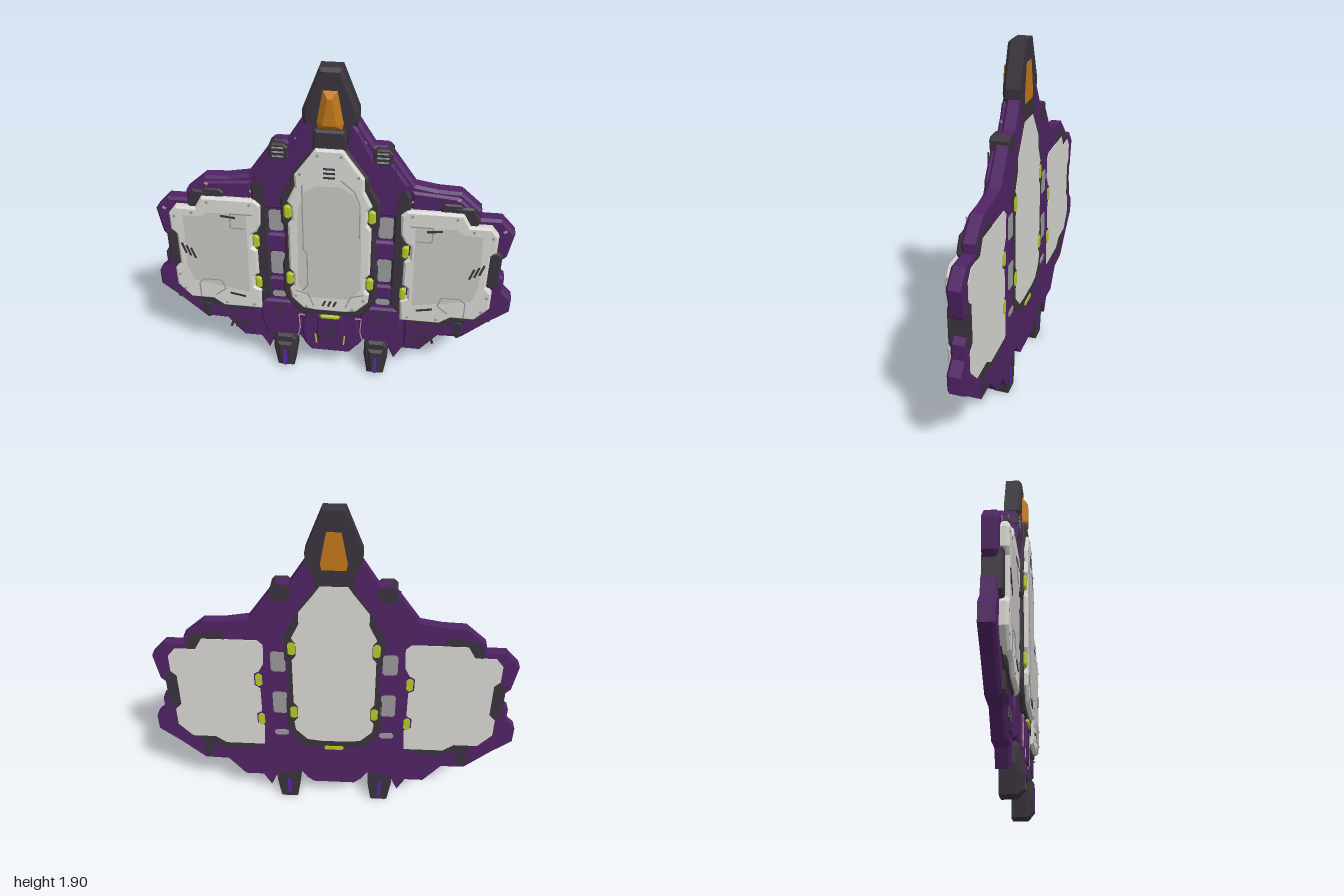
import * as THREE from 'three';
import { mergeGeometries } from 'three/addons/utils/BufferGeometryUtils.js';

const paint = (name, color) => Object.assign(new THREE.MeshStandardMaterial({ color }), { name });

export function createModel() {
  const purple = paint('hull purple', 0x4f2364);
  const dark = paint('dark metal', 0x39333b);
  const plate = paint('plate grey', 0xd6d5d1);
  const inset = paint('inset grey', 0xc6c4c0);
  const mid = paint('recess grey', 0x99979a);
  const lime = paint('lime clamp', 0xb4c828);
  const amber = paint('amber canopy', 0xbf7619);
  const glow = paint('violet glow', 0x5a22b4);
  const pink = paint('worn edge', 0xb58ca0);
  const model = new THREE.Group();
  model.name = 'shipShield';

  const add = (name, geo, mat) => {
    const m = new THREE.Mesh(geo, mat);
    m.name = name;
    model.add(m);
    return m;
  };
  const flip = (pts) => pts.map(([x, y]) => [-x, y]);
  const sym = (half) => [...half, ...flip(half).reverse()];
  const shapeOf = (pts) => new THREE.Shape(pts.map(([x, y]) => new THREE.Vector2(x, y)));

  // Slab from z0 to z1 with straight sides and a chamfered front rim
  const slab = (name, pts, z0, z1, b, mat) => {
    const shape = shapeOf(pts);
    const base = new THREE.ExtrudeGeometry(shape, { depth: z1 - b - z0, bevelEnabled: false });
    base.translate(0, 0, z0);
    if (!b) return add(name, base, mat);
    const rim = new THREE.ExtrudeGeometry(shape, {
      depth: 0.001, bevelThickness: b, bevelSize: b, bevelOffset: -b, bevelSegments: 1 });
    rim.translate(0, 0, z1 - b - 0.001);
    return add(name, mergeGeometries([base, rim]), mat);
  };
  const pair = (name, pts, ...rest) => {
    slab(name + 'Left', pts, ...rest);
    slab(name + 'Right', flip(pts), ...rest);
  };
  // Octagonal outline for clamps and vent housings
  const oct = (x, y, w, h, c) => {
    const a = w / 2, b = h / 2;
    return [[a, b - c], [a - c, b], [c - a, b], [-a, b - c], [-a, c - b], [c - a, -b], [a - c, -b], [a, c - b]]
      .map(([u, v]) => [x + u, y + v]);
  };
  // Thin painted bar; mirrored unless it is on the centre line
  const bar = (name, x, y, w, h, z, mat, rot = 0, both = true) => {
    for (const s of both ? [1, -1] : [1]) {
      const m = add(name, new THREE.BoxGeometry(w, h, 0.006), mat);
      m.position.set(s * x, y, z);
      m.rotation.z = s * rot;
    }
  };
  const groove = (name, pts, z, mat = dark, both = true, t = 0.006) => {
    for (let i = 1; i < pts.length; i++) {
      const [x, y] = pts[i - 1], dx = pts[i][0] - x, dy = pts[i][1] - y;
      bar(name, x + dx / 2, y + dy / 2, Math.hypot(dx, dy), t, z, mat, Math.atan2(dy, dx), both);
    }
  };
  const rivets = (list, z) => list.forEach(([x, y]) => [1, -1].forEach((s) => {
    const m = add('rivet', new THREE.CylinderGeometry(0.008, 0.008, 0.006, 8).rotateX(Math.PI / 2), mid);
    m.position.set(s * x, y, z);
  }));

  // Main hull and wings
  slab('hull', sym([[0.1, 1.66], [0.13, 1.65], [0.22, 1.51], [0.285, 1.51], [0.435, 1.3], [0.55, 1.28], [0.67, 1.275],
    [0.78, 1.18], [0.78, 1.13], [0.89, 1.13], [0.965, 1.05], [0.94, 0.9], [0.9, 0.86], [0.9, 0.8], [0.945, 0.76],
    [0.945, 0.68], [1, 0.625], [1, 0.53], [0.89, 0.44], [0.755, 0.315], [0.62, 0.31], [0.525, 0.19], [0.42, 0.19],
    [0.375, 0.105], [0.335, 0.2], [0.2, 0.24], [0.16, 0.18], [0.12, 0.145]]), -0.07, 0.002, 0.014, purple);

  // Raised inner hull: shoulders, skirt and cross bars
  pair('shoulder', [[0.1, 1.64], [0.14, 1.6], [0.22, 1.45], [0.3, 1.45], [0.4, 1.31], [0.4, 1.12], [0.2, 1.12], [0.06, 1.4]],
    -0.03, 0.028, 0.012, purple);
  pair('skirtSide', [[0.17, 0.5], [0.4, 0.5], [0.41, 0.38], [0.38, 0.25], [0.2, 0.25], [0.17, 0.3]], -0.03, 0.025, 0.012, purple);
  slab('skirt', sym([[0.15, 0.46], [0.17, 0.3], [0.15, 0.2], [0.11, 0.15]]), -0.05, 0.037, 0.014, purple);
  slab('skirtRib', sym([[0.07, 0.43], [0.08, 0.3], [0.06, 0.22]]), 0, 0.046, 0.01, purple);
  for (const [y, h] of [[0.9, 0.12], [0.62, 0.09]]) pair('crossBar', oct(0.3, y, 0.2, h, 0.015), -0.03, 0.026, 0.012, purple);
  for (const [y, h] of [[1.035, 0.13], [0.755, 0.15], [0.535, 0.04]])
    pair('recessPanel', oct(0.296, y, 0.08, h, 0.012), -0.072, 0.005, 0, mid);

  // Wing upper armour steps
  pair('wingCrest', [[0.42, 1.27], [0.66, 1.25], [0.76, 1.165], [0.7, 1.1], [0.42, 1.1]], -0.03, 0.014, 0.012, purple);
  pair('wingFoot', [[0.42, 0.44], [0.74, 0.44], [0.72, 0.34], [0.6, 0.33], [0.52, 0.23], [0.43, 0.23]], -0.03, 0.014, 0.012, purple);

  // Nose, neck and canopy
  slab('nose', sym([[0.055, 1.905], [0.14, 1.69], [0.14, 1.64], [0.1, 1.55], [0.1, 1.48]]), -0.071, 0.022, 0.018, dark);
  slab('neck', sym([[0.075, 1.6], [0.085, 1.56], [0.085, 1.47]]), -0.02, 0.05, 0.012, dark);
  slab('canopy', sym([[0.036, 1.797], [0.067, 1.63], [0.06, 1.595]]), -0.073, 0.054, 0.032, amber);

  // Centre frame and plate
  slab('centreFrame', sym([[0.08, 1.51], [0.2, 1.34], [0.21, 1.3], [0.262, 1.2], [0.262, 1.05], [0.245, 1.02], [0.245, 0.82],
    [0.262, 0.78], [0.262, 0.58], [0.225, 0.5], [0.17, 0.44], [0.07, 0.43]]), -0.072, 0.046, 0.012, dark);
  slab('centrePlate', sym([[0.07, 1.505], [0.1, 1.46], [0.18, 1.35], [0.18, 1.28], [0.222, 1.19], [0.2, 1.16], [0.2, 1.08],
    [0.222, 1.05], [0.222, 0.76], [0.2, 0.73], [0.2, 0.65], [0.222, 0.62], [0.215, 0.56], [0.15, 0.49], [0.08, 0.48]]),
    -0.074, 0.066, 0.012, plate);
  slab('centreInset', sym([[0.06, 1.3], [0.13, 1.26], [0.165, 1.15], [0.175, 0.66], [0.12, 0.58]]), 0.06, 0.0675, 0, inset);

  // Wing frames and plates
  pair('innerRail', [[0.335, 1.2], [0.37, 1.31], [0.42, 1.24], [0.42, 0.5], [0.39, 0.47], [0.335, 0.55]], -0.066, 0.03, 0.012, dark);
  const wingPlate = [[0.37, 1.14], [0.4, 1.17], [0.69, 1.17], [0.73, 1.1], [0.84, 1.1], [0.88, 1.05], [0.88, 0.95],
    [0.85, 0.92], [0.85, 0.72], [0.885, 0.68], [0.885, 0.57], [0.81, 0.485], [0.68, 0.485], [0.62, 0.44], [0.4, 0.44],
    [0.39, 0.58], [0.43, 0.6], [0.43, 0.67], [0.4, 0.69], [0.4, 0.85], [0.43, 0.87], [0.43, 0.95], [0.4, 0.97], [0.375, 1.02]];
  pair('outerClamp', oct(0.87, 0.82, 0.09, 0.24, 0.025), -0.072, 0.022, 0.01, dark);
  pair('upperClamp', [[0.64, 1.2], [0.74, 1.2], [0.78, 1.12], [0.76, 1.08], [0.64, 1.1]], -0.072, 0.024, 0.01, dark);
  pair('lowerClamp', [[0.42, 0.46], [0.64, 0.46], [0.7, 0.5], [0.78, 0.49], [0.76, 0.44], [0.66, 0.42], [0.6, 0.4], [0.46, 0.41]],
    -0.072, 0.022, 0.01, dark);
  pair('wingPlate', wingPlate, -0.074, 0.042, 0.012, plate);
  pair('wingInset', [[0.45, 1.08], [0.66, 1.08], [0.7, 1.05], [0.8, 1.05], [0.81, 0.72], [0.78, 0.62], [0.46, 0.56]],
    0.036, 0.0435, 0, inset);

  // Lime clamps
  for (const y of [1.125, 0.69]) pair('centreClamp', oct(0.222, y, 0.04, 0.08, 0.012), -0.076, 0.062, 0.008, lime);
  for (const y of [0.91, 0.63]) pair('wingClamp', oct(0.405, y, 0.036, 0.08, 0.012), -0.076, 0.044, 0.008, lime);
  slab('bottomClamp', oct(0, 0.428, 0.11, 0.026, 0.008), -0.076, 0.056, 0.006, lime);
  bar('limeMark', 0.083, 0.25, 0.009, 0.065, 0.038, lime, -0.1);

  // Engine pods
  pair('pod', [[0.2, 0.22], [0.225, 0.25], [0.315, 0.25], [0.34, 0.22], [0.34, 0.14], [0.32, 0.005], [0.31, 0], [0.23, 0], [0.22, 0.005],
    [0.2, 0.14]], -0.06, 0.035, 0.015, dark);
  pair('podCap', [[0.225, 0.2], [0.315, 0.2], [0.315, 0.1], [0.3, 0.02], [0.24, 0.02], [0.225, 0.1]], 0, 0.055, 0.015, dark);
  pair('podGlow', oct(0.27, 0.09, 0.02, 0.12, 0.005), -0.0625, 0.0575, 0, glow);

  // Vent housings and slits
  const vents = [[0.265, 1.46, 0.1, 0.09, 0.03], [0.63, 1.18, 0.12, 0.07, 0.022], [0.73, 0.38, 0.05, 0.12, 0.016]];
  for (const [x, y, w, h, z] of vents) pair('ventHousing', oct(x, y, w, h, 0.02), -0.072, z, 0.008, dark);
  for (let i = 0; i < 4; i++) {
    bar('footSlit', 0.49 + i * 0.032, 0.295, 0.014, 0.06, 0.014, dark, 0.35);
    bar('skirtSlit', 0, 0.26 + i * 0.035, 0.06, 0.013, 0.046, dark, 0, false);
  }
  for (let i = -1; i <= 1; i++) {
    bar('noseSlit', 0, 1.375 + i * 0.025, 0.06, 0.01, 0.066, dark, 0, false);
    bar('chinSlit', i * 0.03, 0.54, 0.011, 0.04, 0.066, dark, -0.4, false);
    bar('wingSlit', 0.79 + i * 0.025, 0.82 + i * 0.015, 0.011, 0.07, 0.043, dark, -0.3);
    bar('sideSlit', 0.29, 0.44 + i * 0.025, 0.06, 0.01, 0.025, dark);
    bar('shoulderSlit', 0.265, 1.46 + i * 0.024, 0.06, 0.008, 0.03, mid);
  }

  // Panel grooves, worn edges and rivets
  groove('plateGroove', [[-0.14, 1.3], [-0.14, 0.9], [-0.12, 0.88], [-0.12, 0.66], [-0.15, 0.62]], 0.067, mid, false);
  groove('plateGroove', [[0.06, 1.34], [0.13, 1.28], [0.16, 1.2], [0.16, 1.0]], 0.067, mid, false);
  groove('chinGroove', [[0.19, 0.62], [0.12, 0.6], [0.09, 0.52]], 0.066, mid);
  groove('wingGroove', [[0.42, 1.08], [0.54, 1.08], [0.54, 0.99], [0.46, 0.99]], 0.043, mid);
  groove('wingGroove', [[0.75, 0.5], [0.75, 0.6], [0.72, 0.63], [0.62, 0.63], [0.6, 0.57], [0.66, 0.52]], 0.043, mid);
  bar('wingDash', 0.55, 1.06, 0.08, 0.012, 0.044, dark, 0.1);
  bar('wingDash', 0.53, 0.535, 0.09, 0.012, 0.043, dark, 0.2);
  groove('hullGroove', [[0.44, 0.36], [0.6, 0.36], [0.68, 0.41], [0.9, 0.47]], 0.013, dark);
  groove('hullGroove', [[0.33, 1.43], [0.33, 1.3], [0.38, 1.2]], 0.028, dark);
  groove('wornEdge', [[0.145, 0.42], [0.18, 0.42], [0.175, 0.32], [0.19, 0.26]], 0.037, pink);
  for (const [x, y] of [[0.66, 1.24], [0.17, 1.53], [0.91, 1.07], [0.42, 1.21]]) bar('wornSpot', x, y, 0.02, 0.012, 0.014, pink, 0.6);
  rivets([[0.43, 1.14], [0.66, 1.14], [0.75, 1.07], [0.85, 1.04], [0.86, 0.65], [0.84, 0.55], [0.6, 0.47], [0.44, 0.47]], 0.042);
  rivets([[0.06, 1.47], [0.15, 1.36], [0.19, 0.58], [0.13, 0.51]], 0.066);
  return model;
}
